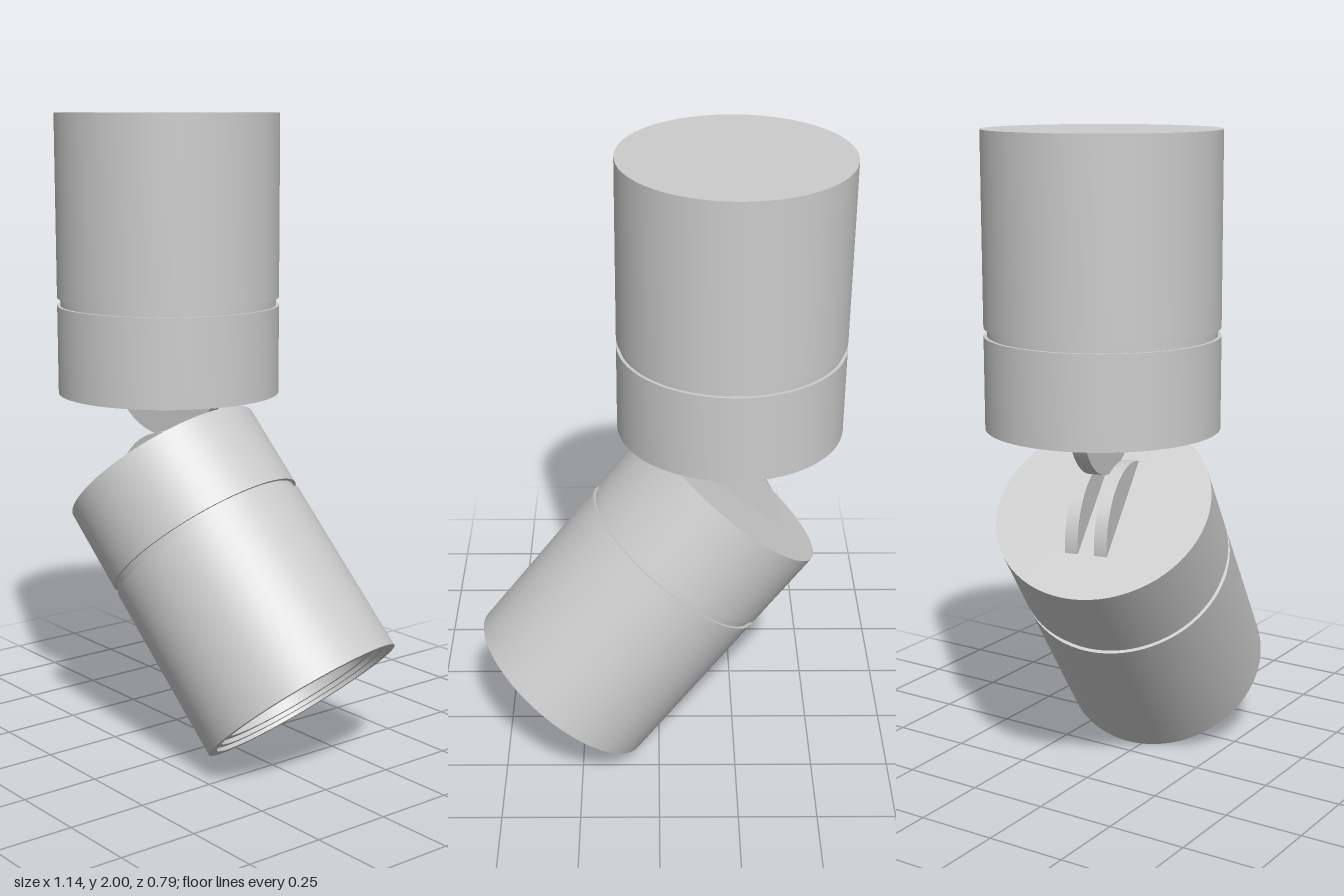
import * as THREE from 'three';
import { toCreasedNormals } from 'three/addons/utils/BufferGeometryUtils.js';

const grey = new THREE.MeshStandardMaterial({ color: 0xcccccc });
const black = new THREE.MeshStandardMaterial({ color: 0x111111 });
const YAW = 0.213;
const TILT = 0.701;

function add(parent, name, geometry, material = grey) {
  const mesh = new THREE.Mesh(geometry, material);
  mesh.name = name;
  parent.add(mesh);
  return mesh;
}

// Solid of revolution from [radius, height] pairs, with sharp corners kept
function turned(points) {
  const profile = points.map(([r, y]) => new THREE.Vector2(r, y));
  return toCreasedNormals(new THREE.LatheGeometry(profile, 72), 0.5);
}

// Upright round plate lying in the local xy plane
function hingePlate(parent, name, radius, thickness, y, z) {
  const geometry = new THREE.CylinderGeometry(radius, radius, thickness, 56);
  geometry.rotateX(Math.PI / 2);
  add(parent, name, geometry).position.set(0, y, z);
}

// Outer wall with a shallow groove, running upward
function groovedWall(r, bottom, top, grooveLow, grooveHigh) {
  const inner = r - 0.01;
  return [
    [r, bottom], [r, grooveLow], [inner, grooveLow],
    [inner, grooveHigh], [r, grooveHigh], [r, top], [0, top],
  ];
}

export function createModel() {
  const model = new THREE.Group();
  model.name = 'hingedSpotlight';

  // Fixed upper housing with a single hinge tongue
  const upper = new THREE.Group();
  upper.name = 'upperHousing';
  upper.position.set(-0.22, 0, 0.045);
  upper.rotation.y = YAW;
  add(upper, 'mountBody', turned([[0, 1.127], ...groovedWall(0.35, 1.127, 2, 1.405, 1.43)]));
  hingePlate(upper, 'hingeTongue', 0.22, 0.046, 1.204, 0);
  model.add(upper);

  // Tilted lamp head; its local origin is the centre of the open end
  const head = new THREE.Group();
  head.name = 'lampHead';
  head.position.set(0.315, 0.2145, -0.065);
  head.rotation.set(0, YAW, TILT, 'YXZ');
  const height = 0.878;

  // Reflector bowl, from its apex down to the stepped lip
  const bowl = [];
  for (let i = 0; i <= 14; i++) {
    const a = (i / 14) * Math.PI / 2;
    bowl.push([0.255 * Math.sin(a), 0.06 + 0.2 * Math.cos(a)]);
  }
  const lip = [
    [0.255, 0.025], [0.283, 0.025], [0.283, 0.012],
    [0.305, 0.012], [0.305, 0],
  ];
  const wall = groovedWall(0.333, 0, height, height - 0.3, height - 0.275);
  add(head, 'lampBody', turned([...bowl, ...lip, ...wall]));

  // Pair of hinge cheeks on either side of the tongue
  for (const side of [-1, 1]) {
    hingePlate(head, 'hingeCheek', 0.215, 0.04, height - 0.12, side * 0.046);
  }

  // Bulb on a short stem inside the bowl
  add(head, 'bulb', new THREE.SphereGeometry(0.046, 24, 16), black).position.y = 0.11;
  add(head, 'bulbStem', new THREE.CylinderGeometry(0.03, 0.03, 0.15, 24), black).position.y = 0.19;
  model.add(head);

  return model;
}
